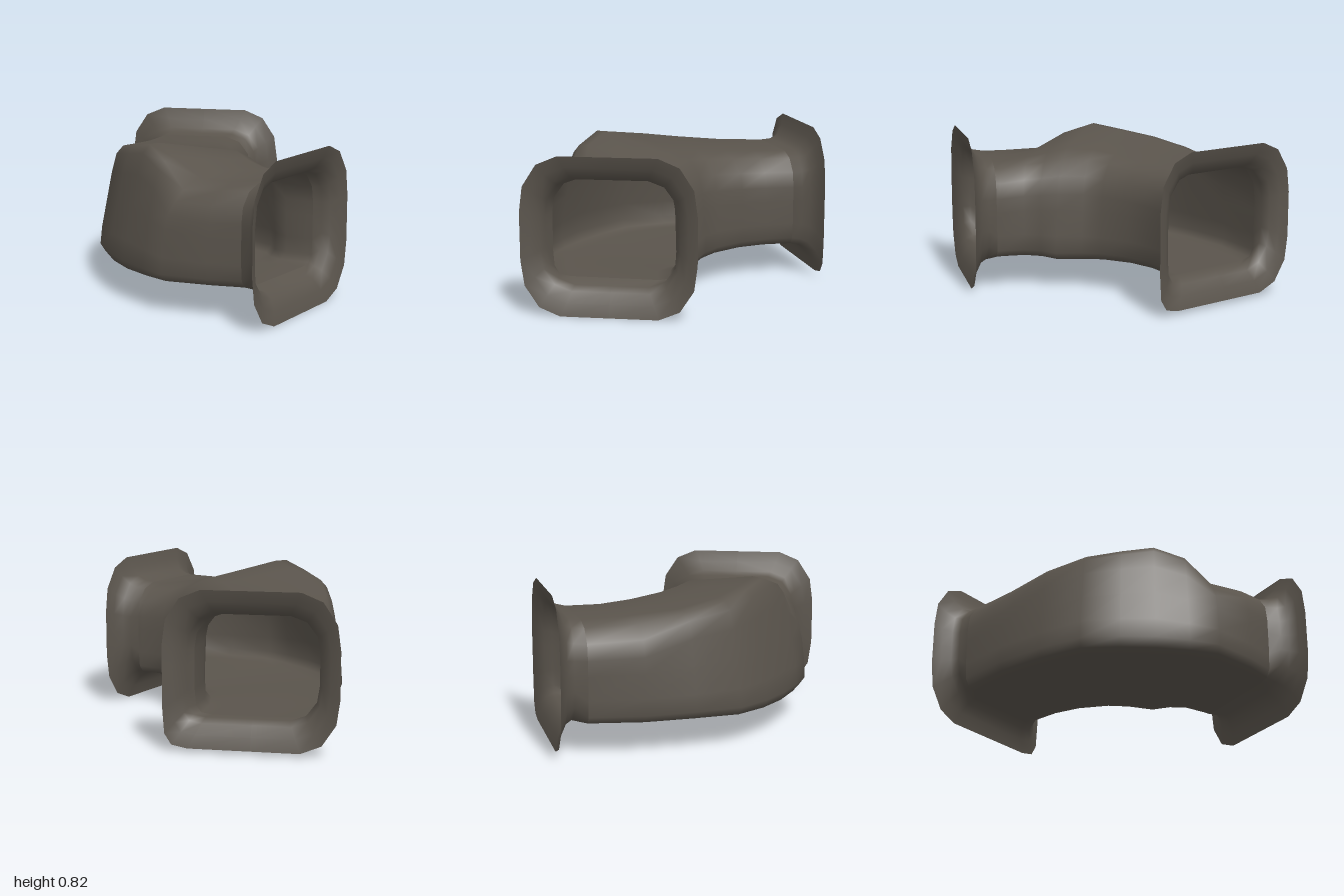
import * as THREE from 'three';

// One quarter of the rounded-square outline, from the side wall to the top
const SOFT = [[1, 0], [1, 0.3], [0.96, 0.62], [0.8, 0.89], [0.56, 1], [0, 1]];
const TIGHT = [[1, 0], [1, 0.5], [0.98, 0.82], [0.9, 0.96], [0.72, 1], [0, 1]];
const SLOPED = [[1, 0], [0.97, 0.28], [0.88, 0.5], [0.76, 0.72], [0.5, 0.92], [0, 1]];

// Full outline, anticlockwise, with its own corner shape for each quarter
function outline(innerTop, outerTop, outerBottom, innerBottom) {
  const back = (q) => q.slice(0, -1).reverse();
  return [
    ...innerTop,
    ...back(outerTop).map(([u, v]) => [-u, v]),
    ...outerBottom.slice(1).map(([u, v]) => [-u, -v]),
    ...back(innerBottom).slice(0, -1).map(([u, v]) => [u, -v]),
  ];
}
const FRONT_LIP = outline(SOFT, SOFT, SOFT, SOFT);
const BACK_LIP = outline(SOFT, SOFT, SOFT, TIGHT);
const THROAT = outline(SOFT, SOFT, TIGHT, TIGHT);
const BEND = outline(SOFT, TIGHT, TIGHT, TIGHT);
const DENT = outline(SOFT, SLOPED, TIGHT, TIGHT);

// Row: outer x, z, inner x, z, bottom y, outer top y, inner top y, outer lean, inner lean
function section([lx, lz, rx, rz, y0, yl, yr, leanL = 0, leanR = 0], profile) {
  const len = Math.hypot(rx - lx, rz - lz);
  return profile.map(([u, v]) => {
    const t = (u + 1) / 2, h = (v + 1) / 2;
    const s = t + h * (leanL * (1 - t) - leanR * t) / len;
    const top = yl + (yr - yl) * t;
    return [lx + (rx - lx) * s, y0 + (top - y0) * h, lz + (rz - lz) * s];
  });
}

// Skin over consecutive sections, open at both ends
function loft(sections, material, name) {
  const n = sections[0].length, index = [];
  for (let i = 0; i < sections.length - 1; i++) {
    for (let j = 0; j < n; j++) {
      const a = i * n + j, b = i * n + (j + 1) % n;
      index.push(a, b, a + n, b, b + n, a + n);
    }
  }
  const g = new THREE.BufferGeometry();
  g.setAttribute('position', new THREE.Float32BufferAttribute(sections.flat(2), 3));
  g.setIndex(index);
  g.computeVertexNormals();
  const mesh = new THREE.Mesh(g, material);
  mesh.name = name;
  return mesh;
}

// Flare sections from the lip towards the throat; side is +1 in front, -1 behind
function flare(lx, lz, rx, rz, side, y0, y1, lip) {
  const len = Math.hypot(rx - lx, rz - lz);
  const dx = (rx - lx) / len, dz = (rz - lz) / len;
  const nx = dz * side, nz = -dx * side;
  return [[0, 0], [0.05, 0.018], [0.092, 0.05], [0.11, 0.09]].map(([inset, depth]) => section([
    lx + dx * inset + nx * depth, lz + dz * inset + nz * depth,
    rx - dx * inset + nx * depth, rz - dz * inset + nz * depth,
    y0 + inset * 1.3, y1 - inset * 1.2, y1 - inset * 1.2,
  ], lip));
}

export function createModel() {
  const group = new THREE.Group();
  group.name = 'curvedDuct';
  const metal = new THREE.MeshStandardMaterial({ color: 0x5a544c, side: THREE.DoubleSide });
  metal.name = 'dark grey brown';

  // Bent tube, back to front, with a raised outer shoulder that falls away to the front
  const rows = [
    [[-0.10, -0.815, 0.43, -0.44, 0.165, 0.685, 0.685], THROAT],
    [[-0.32, -0.62, 0.33, -0.33, 0.165, 0.70, 0.685, 0.04, 0.01], THROAT],
    [[-0.485, -0.41, 0.26, -0.20, 0.165, 0.725, 0.695, 0.08, 0.02], BEND],
    [[-0.62, -0.20, 0.215, -0.04, 0.16, 0.765, 0.71, 0.12, 0.04], BEND],
    [[-0.645, 0.00, 0.215, 0.07, 0.155, 0.80, 0.72, 0.14, 0.06], BEND],
    [[-0.64, 0.18, 0.26, 0.20, 0.155, 0.835, 0.72, 0.15, 0.08], BEND],
    [[-0.60, 0.36, 0.23, 0.29, 0.16, 0.775, 0.70, 0.12, 0.04], BEND],
    [[-0.55, 0.51, 0.245, 0.38, 0.165, 0.71, 0.69, 0.07, 0.02], DENT],
    [[-0.375, 0.69, 0.315, 0.48, 0.17, 0.68, 0.68, 0.03, 0], THROAT],
    [[-0.235, 0.80, 0.33, 0.50, 0.17, 0.685, 0.685], THROAT],
  ];
  const tube = rows.map(([row, profile]) => section(row, profile));
  group.add(loft(tube, metal, 'bentTube'));

  // Flared collars at both mouths
  const back = flare(-0.085, -1.0, 0.62, -0.46, -1, 0.02, 0.825, BACK_LIP);
  const front = flare(-0.275, 1.0, 0.505, 0.555, 1, 0.0, 0.825, FRONT_LIP).reverse();
  group.add(loft([...back, tube[0]], metal, 'backCollar'));
  group.add(loft([tube[tube.length - 1], ...front], metal, 'frontCollar'));
  return group;
}
